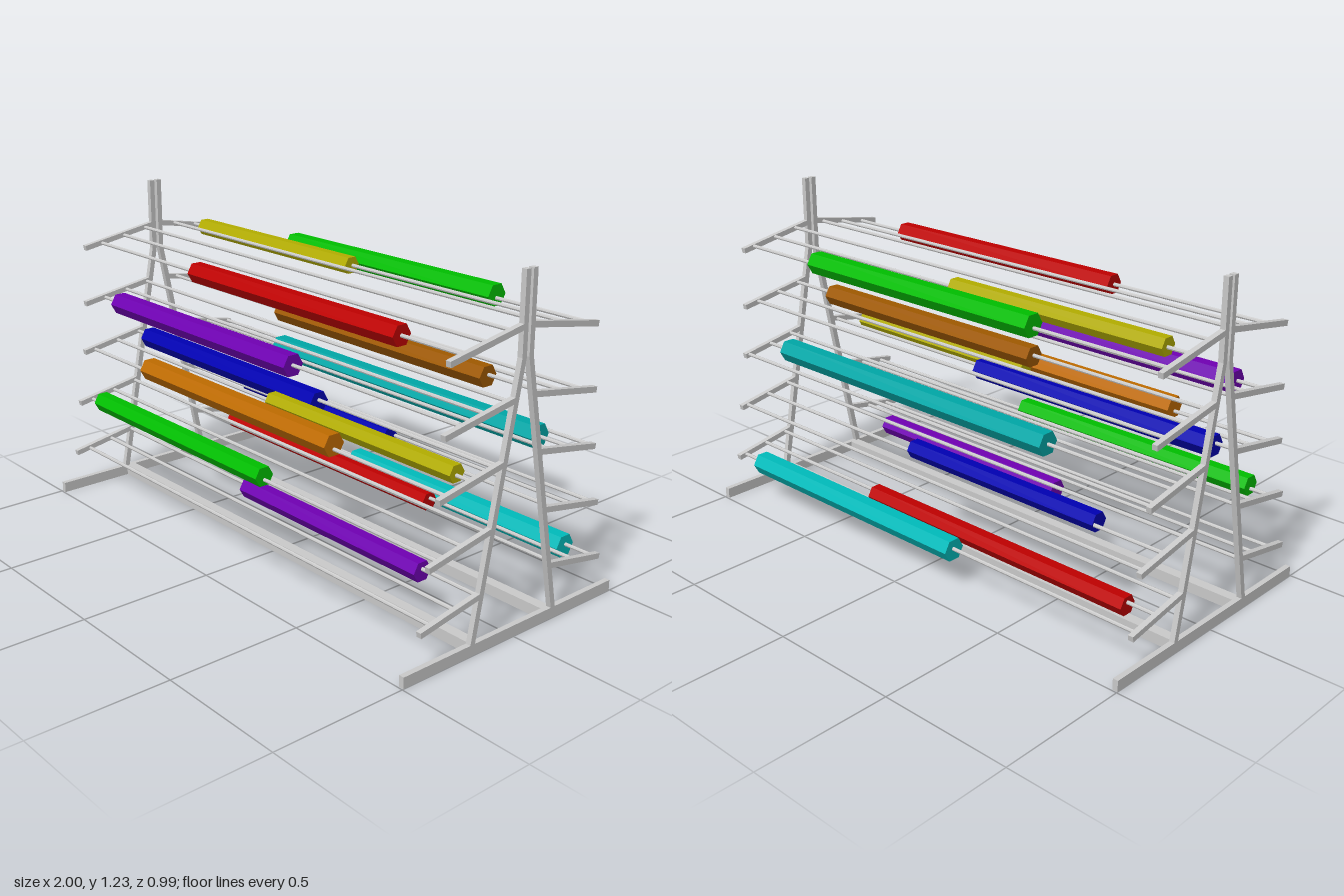
import * as THREE from 'three';

const frameMat = new THREE.MeshStandardMaterial({ color: 0xcccccc, flatShading: true });
const colors = {
  red: 0xc00000, yellow: 0xb4ae00, green: 0x00c000, purple: 0x7000b4, brown: 0xa05a00,
  orange: 0xc06c00, blue: 0x0000b4, teal: 0x00a8a8, cyan: 0x00bcbc,
};
const rollMats = {};
for (const name in colors) {
  rollMats[name] = new THREE.MeshStandardMaterial({ color: colors[name], flatShading: true });
}

// Arm centre lines in (z, y), from post to tip, and depths of the three rails; top level first
const levels = [
  { arm: [0.02, 1.048, 0.336, 0.993], rails: [0.072, 0.173, 0.276] },
  { arm: [0.046, 0.82, 0.348, 0.769], rails: [0.074, 0.173, 0.274] },
  { arm: [0.085, 0.62, 0.363, 0.57], rails: [0.124, 0.226, 0.333] },
  { arm: [0.127, 0.41, 0.397, 0.361], rails: [0.152, 0.254, 0.357] },
  { arm: [0.169, 0.2, 0.426, 0.154], rails: [0.181, 0.28, 0.382] },
];
const railShift = -0.015; // all rails sit slightly towards the back

// Colour, start x, end x, height y, depth z, radius
const rolls = [
  ['red', -0.347, 0.72, 1.004, 0.26, 0.039],
  ['yellow', -0.905, 0, 1.023, -0.184, 0.034],
  ['green', -0.46, 0.605, 1.013, -0.293, 0.043],
  ['purple', -0.875, 0.197, 0.78, 0.257, 0.043],
  ['brown', -0.283, 0.765, 0.811, -0.087, 0.04],
  ['orange', -0.59, 0.477, 0.59, 0.318, 0.043],
  ['yellow', 0.02, 0.92, 0.6, 0.208, 0.033],
  ['blue', -0.905, 0.157, 0.605, 0.107, 0.041],
  ['teal', -0.485, 0.865, 0.596, -0.241, 0.045],
  ['green', -0.905, 0.14, 0.38, 0.342, 0.039],
  ['blue', -0.71, 0.155, 0.389, -0.244, 0.036],
  ['purple', -0.185, 0.743, 0.189, 0.166, 0.039],
  ['red', -0.875, 0.32, 0.168, -0.293, 0.037],
  ['cyan', -0.195, 0.877, 0.157, -0.394, 0.044],
];

function add(group, geometry, material, name, x = 0, y = 0, z = 0) {
  const mesh = new THREE.Mesh(geometry, material);
  mesh.name = name;
  mesh.position.set(x, y, z);
  group.add(mesh);
  return mesh;
}

// Bar along x with a polygonal section, corners pointing to front and back
function barX(radius, length, sides) {
  return new THREE.CylinderGeometry(radius, radius, length, sides).rotateZ(Math.PI / 2);
}

// Flat (z, y) outline given a thickness along x, centred on x = 0
function plateX(points, thickness) {
  const shape = new THREE.Shape(points.map(([z, y]) => new THREE.Vector2(-z, y)));
  return new THREE.ExtrudeGeometry(shape, { depth: thickness, bevelEnabled: false })
    .translate(0, 0, -thickness / 2)
    .rotateY(Math.PI / 2);
}

function buildEndFrame(x) {
  const end = new THREE.Group();
  end.name = 'endFrame';
  end.position.x = x;
  add(end, new THREE.BoxGeometry(0.02, 0.04, 0.99), frameMat, 'foot', 0, 0.02, 0);

  for (const side of [1, -1]) {
    // Post: upright at the top, splayed outwards below
    const outline = [
      [0.006, 1.225], [0.026, 1.225], [0.026, 0.95],
      [0.205, 0.035], [0.184, 0.035], [0.006, 0.948],
    ].map(([z, y]) => [z * side, y]);
    add(end, plateX(outline, 0.02), frameMat, 'post');

    // Sloping arms
    for (const { arm: [z0, y0, z1, y1] } of levels) {
      const length = Math.hypot(z1 - z0, y1 - y0);
      const arm = add(end, new THREE.BoxGeometry(0.02, 0.02, length), frameMat, 'arm',
        0, (y0 + y1) / 2, side * (z0 + z1) / 2);
      arm.rotation.x = side * Math.atan2(y0 - y1, z1 - z0);
    }
  }
  return end;
}

export function createModel() {
  const model = new THREE.Group();
  model.name = 'rollRack';
  model.add(buildEndFrame(0.99), buildEndFrame(-0.99));

  const railGeometry = barX(0.007, 1.97, 8);
  for (const side of [1, -1]) {
    // Floor beam joining the feet
    add(model, new THREE.BoxGeometry(1.97, 0.04, 0.04), frameMat, 'floorBeam', 0, 0.02, side * 0.175);

    // Three thin rails per pair of arms
    for (const { arm: [z0, y0, z1, y1], rails } of levels) {
      for (const z of rails) {
        const y = THREE.MathUtils.mapLinear(z, z0, z1, y0, y1);
        add(model, railGeometry, frameMat, 'rail', 0, y, side * z + railShift);
      }
    }
  }

  // Six-sided rolls threaded on the rails
  for (const [color, x0, x1, y, z, radius] of rolls) {
    add(model, barX(radius, x1 - x0, 6), rollMats[color], color + 'Roll', (x0 + x1) / 2, y, z);
  }
  return model;
}
